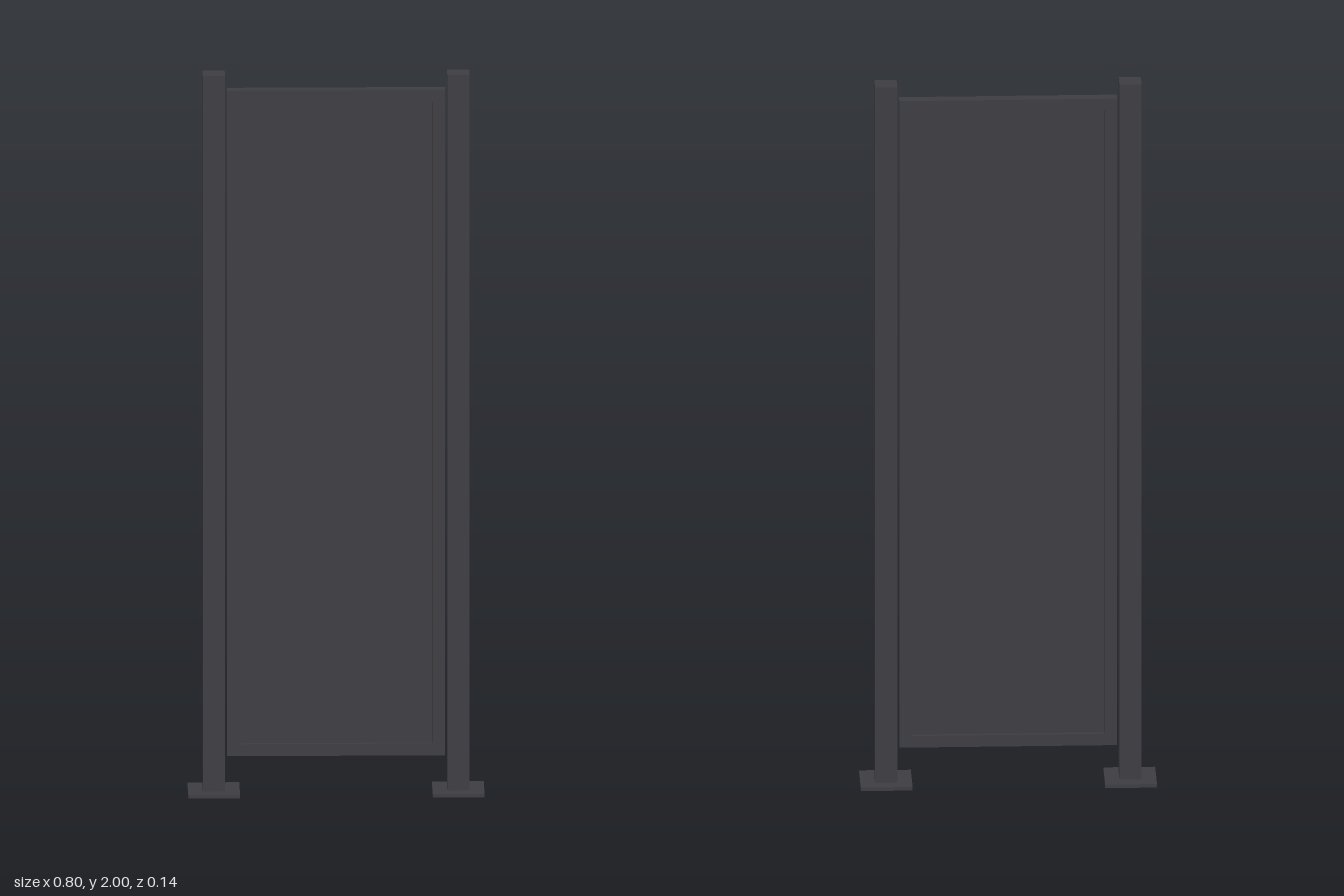
import * as THREE from 'three';

export function createModel() {
  const model = new THREE.Group();
  model.name = 'privacyScreen';

  const darkMetal = new THREE.MeshStandardMaterial({ color: 0x3e3d42 });
  darkMetal.name = 'anthracite metal';

  // Box given by its size and the centre of its underside
  function addBox(name, w, h, d, x, y) {
    const mesh = new THREE.Mesh(new THREE.BoxGeometry(w, h, d), darkMetal);
    mesh.name = name;
    mesh.position.set(x, y + h / 2, 0);
    model.add(mesh);
  }

  // Square posts on flat foot plates
  for (const [side, s] of [['left', 1], ['right', -1]]) {
    addBox(side + 'FootPlate', 0.14, 0.01, 0.14, s * 0.33, 0);
    addBox(side + 'Post', 0.06, 1.99, 0.06, s * 0.33, 0.01);
  }

  // Rectangular frame with an open middle, held just clear of the posts
  const halfW = 0.294, bottom = 0.104, top = 1.955, bar = 0.033, depth = 0.033;
  const rect = (target, x, y0, y1) => {
    target.moveTo(-x, y0);
    target.lineTo(x, y0);
    target.lineTo(x, y1);
    target.lineTo(-x, y1);
    target.closePath();
    return target;
  };
  const outline = rect(new THREE.Shape(), halfW, bottom, top);
  outline.holes.push(rect(new THREE.Path(), halfW - bar, bottom + bar, top - bar));
  const frameGeometry = new THREE.ExtrudeGeometry(outline, { depth, bevelEnabled: false });
  frameGeometry.translate(0, 0, -depth / 2);
  const frame = new THREE.Mesh(frameGeometry, darkMetal);
  frame.name = 'panelFrame';
  model.add(frame);

  // Thin infill panel, recessed on both faces
  addBox('infillPanel', 2 * (halfW - bar), top - bottom - 2 * bar, 0.01, 0, bottom + bar);

  return model;
}
